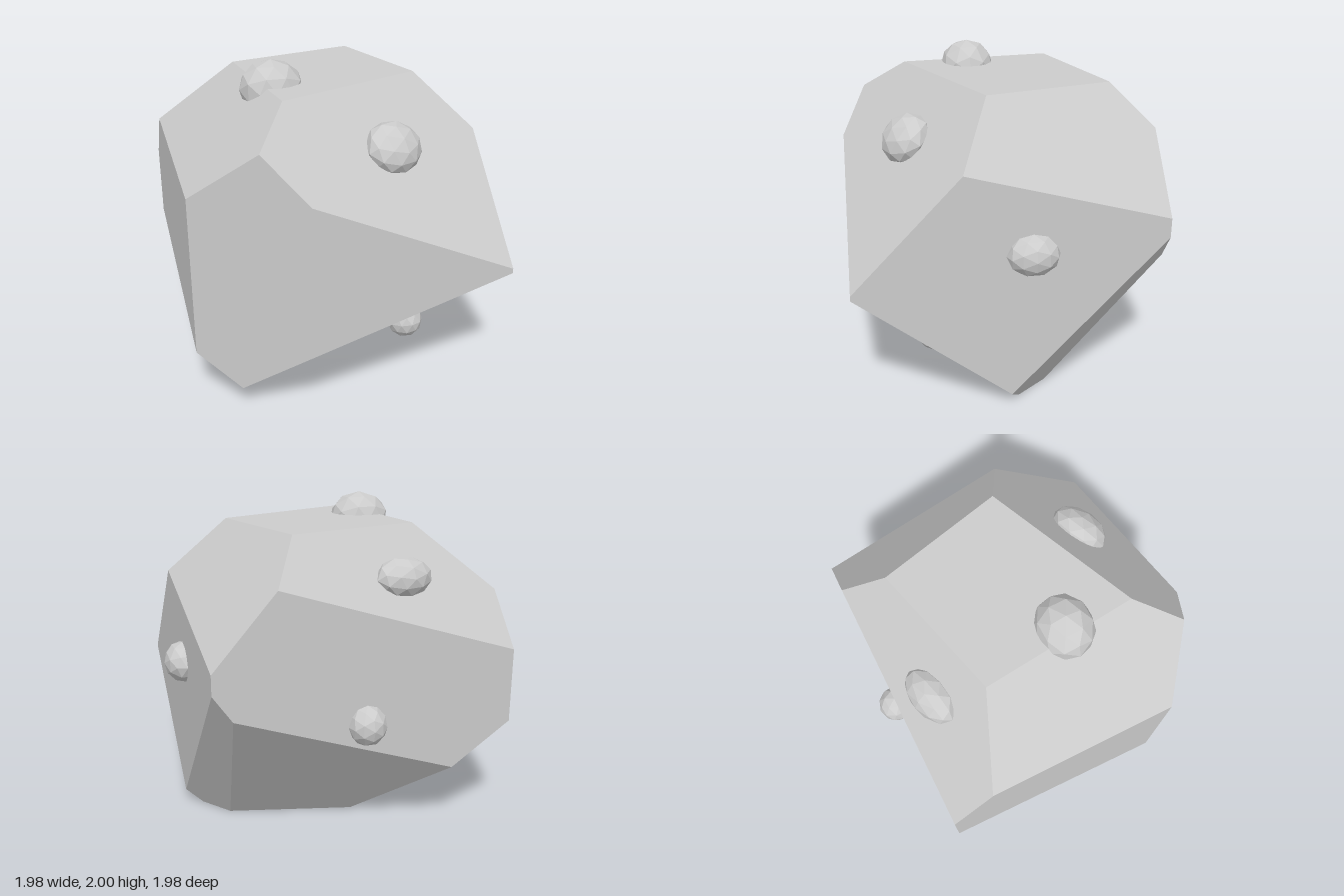
import * as THREE from 'three';

const V = (p) => new THREE.Vector3(...p);
const CENTRE = new THREE.Vector3(-0.06, 0.93, 0.06);

// Outward plane through three points
function cut(a, b, c) {
  const plane = new THREE.Plane().setFromCoplanarPoints(V(a), V(b), V(c));
  return plane.distanceToPoint(CENTRE) > 0 ? plane.negate() : plane;
}

// Convex solid bounded by planes: find the corners, then fan each face
function solidFromPlanes(planes) {
  const corners = [];
  const n = planes.length;
  for (let i = 0; i < n; i++) for (let j = i + 1; j < n; j++) for (let k = j + 1; k < n; k++) {
    const [a, b, c] = [planes[i], planes[j], planes[k]];
    const bc = b.normal.clone().cross(c.normal);
    const det = a.normal.dot(bc);
    if (Math.abs(det) < 1e-4) continue;
    const p = bc.multiplyScalar(-a.constant)
      .addScaledVector(c.normal.clone().cross(a.normal), -b.constant)
      .addScaledVector(a.normal.clone().cross(b.normal), -c.constant)
      .divideScalar(det);
    if (planes.every((q) => q.distanceToPoint(p) < 1e-5)) corners.push(p);
  }
  const positions = [];
  for (const plane of planes) {
    const face = corners.filter((p) => Math.abs(plane.distanceToPoint(p)) < 1e-4);
    if (face.length < 3) continue;
    const mid = face.reduce((s, p) => s.add(p), new THREE.Vector3()).divideScalar(face.length);
    const u = face[0].clone().sub(mid).normalize();
    const v = plane.normal.clone().cross(u);
    const angle = (p) => Math.atan2(p.clone().sub(mid).dot(v), p.clone().sub(mid).dot(u));
    face.sort((p, q) => angle(p) - angle(q));
    face.forEach((p, i) => {
      for (const w of [mid, p, face[(i + 1) % face.length]]) positions.push(w.x, w.y, w.z);
    });
  }
  const geometry = new THREE.BufferGeometry();
  geometry.setAttribute('position', new THREE.Float32BufferAttribute(positions, 3));
  geometry.computeVertexNormals();
  return geometry;
}

export function createModel() {
  const group = new THREE.Group();
  const material = new THREE.MeshStandardMaterial({ color: 0xcccccc, flatShading: true });

  // Rock body: a cube with its corners and edges sliced away
  const box = [
    [[1, 0, 0], 0.87], [[-1, 0, 0], 0.99], [[0, 1, 0], 1.865],
    [[0, -1, 0], 0], [[0, 0, 1], 0.99], [[0, 0, -1], 0.87],
  ].map(([normal, d]) => new THREE.Plane(V(normal), -d));
  const cuts = [
    [[-0.42, 1.865, 0.56], [0.87, 0.84, 0.99], [0.87, 1.52, 0.34]], // upper front
    [[-0.375, 1.39, 0.99], [-0.375, 0.45, 0.99], [-0.99, 0.355, 0.59]], // front, -x side
    [[-0.38, 0.45, 0.99], [0.87, 0.81, 0.99], [0.77, 0, 0]], // lower front
    [[0.52, 1.865, 0.16], [0.33, 1.865, -0.62], [0.87, 1.18, -0.87]], // upper back, +x side
    [[0.33, 1.865, -0.62], [-0.51, 1.865, -0.40], [-0.99, 1.14, -0.87]], // upper back
    [[-0.51, 1.865, -0.40], [-0.42, 1.865, 0.56], [-0.99, 1.36, 0.59]], // upper, -x side
    [[-0.13, 0, -0.40], [-0.41, 0, 0.44], [-0.99, 0.68, -0.87]], // lower, -x side
    [[0.63, 0, -0.19], [-0.13, 0, -0.40], [0.74, 0.89, -0.87]], // lower back
    [[0.87, 0.08, 0.06], [0.63, 0, -0.19], [0.87, 1.06, -0.87]], // lower back, +x side
  ].map((points) => cut(...points));
  const rock = new THREE.Mesh(solidFromPlanes([...box, ...cuts]), material);
  rock.name = 'rockBody';
  group.add(rock);

  // Faceted nodules: centre, outward direction, radii (across, along, out)
  const nodules = [
    ['topNodule', [-0.385, 1.83, 0.15], [0, 1, 0.001], [0.195, 0.175, 0.172]],
    ['upperFrontNodule', [0.23, 1.545, 0.61], [0.29, 0.66, 0.69], [0.19, 0.165, 0.115]],
    ['sideNodule', [0.87, 1.015, -0.055], [1, 0, 0], [0.158, 0.127, 0.117]],
    ['backNodule', [-0.04, 0.775, -0.87], [0, 0, -1], [0.117, 0.122, 0.117]],
    ['lowerFrontNodule', [0.4, 0.275, 0.485], [0.22, -0.77, 0.6], [0.11, 0.125, 0.11]],
    ['upperBackNodule', [-0.335, 1.59, -0.675], [-0.2, 0.62, -0.76], [0.195, 0.125, 0.11]],
    ['lowerSideNodule', [-0.76, 0.39, -0.28], [-0.55, -0.815, -0.18], [0.115, 0.115, 0.11]],
  ];
  for (const [name, centre, outward, radii] of nodules) {
    const out = V(outward).normalize();
    const across = new THREE.Vector3(0, 1, 0).cross(out).normalize();
    const along = out.clone().cross(across);
    const nodule = new THREE.Mesh(new THREE.IcosahedronGeometry(1, 1), material);
    nodule.name = name;
    nodule.scale.set(...radii);
    nodule.quaternion.setFromRotationMatrix(new THREE.Matrix4().makeBasis(across, along, out));
    nodule.position.set(...centre);
    group.add(nodule);
  }
  return group;
}
